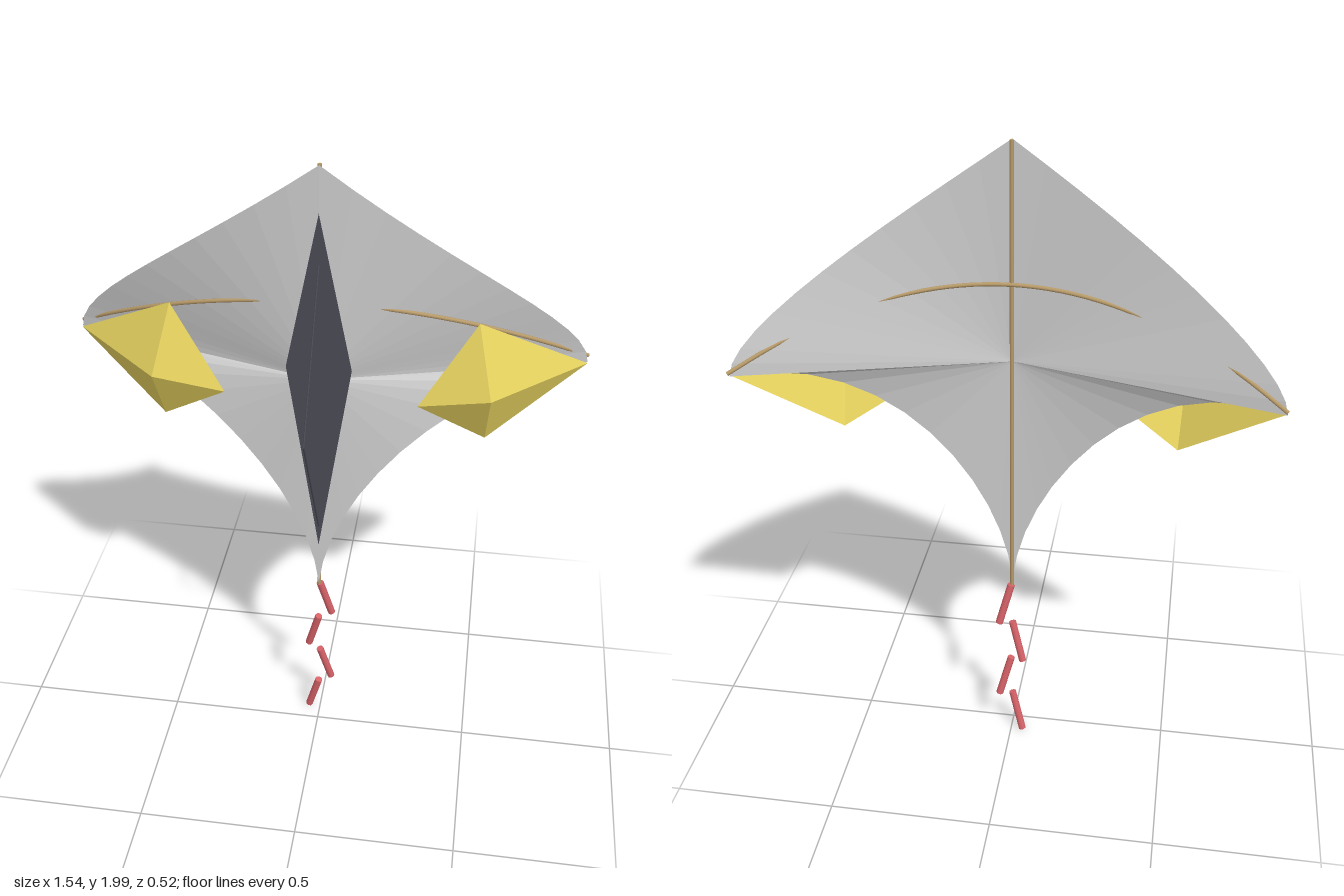
import * as THREE from 'three';

const V = (x, y, z) => new THREE.Vector3(x, y, z);
const SAIL_Z = -0.026, BOW = 0.365;
// Everything on the wings is swept back along this parabola
const bowZ = (x, z0 = SAIL_Z) => z0 - BOW * x * x;

const mat = (color, extra = {}) => new THREE.MeshStandardMaterial({ color, ...extra });
const thin = { side: THREE.DoubleSide, flatShading: true };
const fabric = mat(0xcccccc, thin);
const dark = mat(0x4a4a55, thin);
const yellow = mat(0xe8d460, thin);
const wood = mat(0xb89b6a);
const line = mat(0x4a4a55);
const pink = mat(0xd9646a);

// Triangle fan from a hub around a list of rim points
function fan(hub, rim, closed = true) {
  const pts = [];
  const n = closed ? rim.length : rim.length - 1;
  for (let i = 0; i < n; i++) pts.push(hub, rim[i], rim[(i + 1) % rim.length]);
  const geo = new THREE.BufferGeometry().setFromPoints(pts);
  geo.computeVertexNormals();
  return geo;
}

// Straight rod between two points
function rod(a, b, radius, material, sides = 8) {
  const dir = b.clone().sub(a);
  const mesh = new THREE.Mesh(new THREE.CylinderGeometry(radius, radius, dir.length(), sides), material);
  mesh.position.copy(a).add(b).multiplyScalar(0.5);
  mesh.quaternion.setFromUnitVectors(V(0, 1, 0), dir.normalize());
  return mesh;
}

export function createModel() {
  const kite = new THREE.Group();
  kite.name = 'kite';
  const add = (name, mesh) => {
    mesh.name = name;
    kite.add(mesh);
    return mesh;
  };

  // Sail: outline of the +x half, mirrored, fanned from the hub
  const upper = new THREE.CubicBezierCurve3(V(0, 2, 0), V(0.35, 1.75, 0), V(0.76, 1.5, 0), V(0.765, 1.36, 0));
  const lower = new THREE.CubicBezierCurve3(V(0.765, 1.36, 0), V(0.36, 1.38, 0), V(0.03, 0.95, 0), V(0, 0.6, 0));
  const half = [...upper.getPoints(12), ...lower.getPoints(12).slice(1)];
  half.forEach((p) => { p.z = bowZ(p.x); });
  const other = half.slice(1, -1).map((p) => V(-p.x, p.y, p.z));
  const rim = [...half, ...other.reverse()].reverse();
  add('sail', new THREE.Mesh(fan(V(0, 1.36, SAIL_Z), rim), fabric));

  // Long dark diamond panel on the front
  const panel = [V(0, 1.87, -0.02), V(-0.095, 1.4, -0.02), V(0, 0.76, -0.02), V(0.095, 1.4, -0.02)];
  add('centrePanel', new THREE.Mesh(fan(V(0, 1.4, -0.02), panel), dark));

  // Faceted open pyramids under each wing
  for (const s of [1, -1]) {
    const corners = [[0.444, 1.54], [0.285, 1.28], [0.485, 1.155], [0.765, 1.36]]
      .map(([x, y]) => V(s * x, y, bowZ(x, -0.02)));
    if (s < 0) corners.reverse();
    add(s > 0 ? 'leftWingPocket' : 'rightWingPocket',
      new THREE.Mesh(fan(V(s * 0.493, 1.332, -0.017), corners), yellow));
  }

  // Frame: straight spine and bowed cross spar
  add('spine', rod(V(0, 0.58, -0.037), V(0, 2, -0.037), 0.006, wood));
  const bow = [];
  for (let i = -8; i <= 8; i++) {
    const x = (i / 8) * 0.765;
    bow.push(V(x, 1.6 - 0.385 * x * x, bowZ(x, -0.041)));
  }
  add('crossSpar', new THREE.Mesh(
    new THREE.TubeGeometry(new THREE.CatmullRomCurve3(bow), 48, 0.006, 8), wood));

  // Bridle lines meeting at the tow point
  const tow = V(0, 1.317, 0.262);
  add('upperBridle', rod(V(0, 1.72, -0.02), tow, 0.0025, line, 6));
  add('lowerBridle', rod(V(0, 0.835, -0.02), tow, 0.0025, line, 6));

  // Zigzag tail
  for (let i = 0; i < 4; i++) {
    const side = i % 2 ? -1 : 1;
    const top = 0.588 - i * 0.1453;
    add('tailSegment' + (i + 1),
      rod(V(side * 0.002, top, -0.041), V(side * 0.038, top - 0.139, -0.06), 0.012, pink));
  }
  return kite;
}
